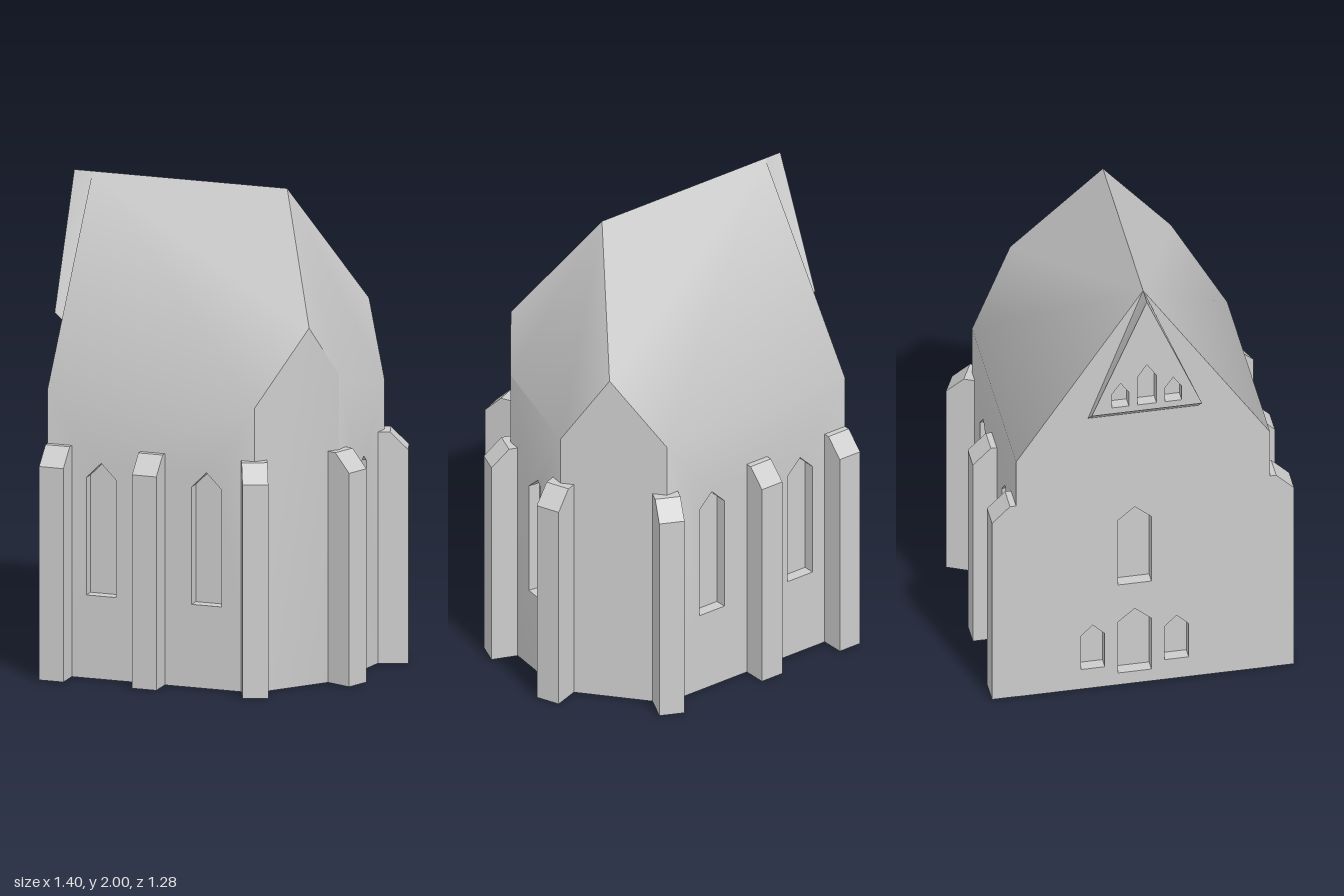
import * as THREE from 'three';
import { toCreasedNormals } from 'three/addons/utils/BufferGeometryUtils.js';

// Collects flat faces into one shell
class Shell {
  constructor() { this.pos = []; }

  // Convex face, corners counter-clockwise from outside
  face(...pts) {
    for (let i = 1; i < pts.length - 1; i++) this.pos.push(...pts[0], ...pts[i], ...pts[i + 1]);
  }

  // Upright wall from ground point a to b (left to right from outside) with recessed windows
  wall(a, b, outline, windows = [], depth = 0.05) {
    const len = Math.hypot(b[0] - a[0], b[1] - a[1]);
    const dx = (b[0] - a[0]) / len, dz = (b[1] - a[1]) / len;
    const place = ([u, y], d = 0) => [a[0] + dx * u + dz * d, y, a[1] + dz * u - dx * d];
    const toVec = (list) => list.map(([x, y]) => new THREE.Vector2(x, y));
    const fill = (contour, holes, d) => {
      const all = [contour, ...holes].flat();
      const tris = THREE.ShapeUtils.triangulateShape(toVec(contour), holes.map(toVec));
      tris.forEach((t) => this.face(...t.map((i) => place(all[i], d))));
    };
    fill(outline, windows.map((w) => [...w].reverse()), 0);
    for (const w of windows) {
      fill(w, [], depth);
      w.forEach((p, i) => {
        const q = w[(i + 1) % w.length];
        this.face(place(p), place(q), place(q, depth), place(p, depth));
      });
    }
  }

  // Soft eaves, sharp corners; the small shift keeps corners off the weld grid
  mesh(name, material) {
    let g = new THREE.BufferGeometry();
    g.setAttribute('position', new THREE.Float32BufferAttribute(this.pos, 3));
    const s = 0.0033;
    g.translate(s, s, s);
    g = toCreasedNormals(g, THREE.MathUtils.degToRad(40));
    g.translate(-s, -s, -s);
    const m = new THREE.Mesh(g, material);
    m.name = name;
    return m;
  }
}

// Pointed window outline
const lancet = (u, y0, w, shoulder, peak) => [
  [u - w / 2, y0], [u + w / 2, y0], [u + w / 2, shoulder], [u, peak], [u - w / 2, shoulder],
];

export function createModel() {
  const group = new THREE.Group();
  group.name = 'chapel';
  const stone = new THREE.MeshStandardMaterial({ color: 0xcccccc });
  stone.name = 'pale grey stone';

  // Ground plan corners [x, z] and their eaves heights
  const plan = [[-0.62, 0.53], [0.285, 0.53], [0.537, 0.215], [0.589, -0.18], [0.31, -0.53], [-0.62, -0.53]];
  const eaves = [1.2, 1.2, 1.29, 1.18, 1.2, 1.2];
  const dist = (a, b) => Math.hypot(b[0] - a[0], b[1] - a[1]);
  const mix = (a, b, t) => [a[0] + (b[0] - a[0]) * t, a[1] + (b[1] - a[1]) * t];
  const top = plan.map(([x, z], i) => [x, eaves[i], z]);

  // Wall peaks: wall index -> [fraction along the wall, height]
  const peaks = { 2: null, 1: [0.645, 1.505], 3: [0.462, 1.48], 5: [0.5, 2] };
  const peakPoint = (i) => {
    const [x, z] = mix(plan[i], plan[(i + 1) % 6], peaks[i][0]);
    return [x, peaks[i][1], z];
  };
  const sideWindows = [0.235, 0.695].map((u) => lancet(u, 0.35, 0.13, 0.845, 0.91));
  const windows = {
    0: sideWindows,
    2: [[[0.146, 0.35], [0.237, 0.35], [0.237, 0.88], [0.217, 0.9], [0.146, 0.84]]],
    4: sideWindows,
    5: [
      lancet(0.495, 0.51, 0.14, 0.84, 0.9),
      lancet(0.495, 0.06, 0.14, 0.32, 0.38),
      lancet(0.32, 0.1, 0.1, 0.27, 0.32),
      lancet(0.67, 0.1, 0.1, 0.27, 0.32),
    ],
  };

  // Walls, roof slopes and floor
  const body = new Shell();
  plan.forEach((a, i) => {
    const j = (i + 1) % 6, b = plan[j], len = dist(a, b);
    const outline = [[0, 0], [len, 0], [len, eaves[j]]];
    if (peaks[i]) outline.push([len * peaks[i][0], peaks[i][1]]);
    outline.push([0, eaves[i]]);
    body.wall(a, b, outline, windows[i]);
  });
  const ridgeWest = [-0.62, 2, 0], ridgeEast = [0.23, 2, 0];
  const southPeak = peakPoint(1), northPeak = peakPoint(3);
  body.face(ridgeWest, top[0], top[1], southPeak, ridgeEast);
  body.face(ridgeEast, southPeak, top[2], top[3], northPeak);
  body.face(ridgeWest, ridgeEast, northPeak, top[4], top[5]);
  body.face(...plan.map(([x, z]) => [x, 0, z]).reverse());
  group.add(body.mesh('wallsAndRoof', stone));

  // Projecting gable with three small windows
  const gable = new Shell();
  const outer = (z) => [-0.7, 1.45, z], inner = (z) => [-0.62, 1.38, z];
  const apexOut = [-0.7, 2, 0], apexIn = [-0.62, 2, 0], h = 0.23;
  gable.wall([-0.7, -h], [-0.7, h], [[0, 1.45], [2 * h, 1.45], [h, 2]], [
    lancet(h, 1.48, 0.08, 1.62, 1.68),
    lancet(h - 0.11, 1.48, 0.07, 1.55, 1.6),
    lancet(h + 0.11, 1.48, 0.07, 1.55, 1.6),
  ]);
  gable.face(inner(-h), outer(-h), apexOut, apexIn);
  gable.face(apexIn, apexOut, outer(h), inner(h));
  gable.face(inner(-h), inner(h), outer(h), outer(-h));
  group.add(gable.mesh('projectingGable', stone));

  // Buttresses with sloped caps: x, z, outward direction in degrees from +x towards +z
  const width = 0.106;
  const profile = new THREE.Shape(
    [[-0.05, 0], [0.1, 0], [0.1, 0.9], [0.025, 0.975], [-0.05, 0.975]].map(([x, y]) => new THREE.Vector2(x, y)),
  );
  const buttressGeometry = new THREE.ExtrudeGeometry(profile, { depth: width, bevelEnabled: false });
  buttressGeometry.translate(0, 0, -width / 2);
  const spots = [
    [-0.566, 0.53, 90], [-0.16, 0.53, 90], [0.282, 0.525, 67], [0.537, 0.212, 21],
    [0.587, -0.18, -19.5], [0.31, -0.527, -65], [-0.16, -0.53, -90], [-0.566, -0.53, -90],
  ];
  for (const [x, z, angle] of spots) {
    const b = new THREE.Mesh(buttressGeometry, stone);
    b.name = 'buttress';
    b.position.set(x, 0, z);
    b.rotation.y = -THREE.MathUtils.degToRad(angle);
    group.add(b);
  }
  return group;
}
